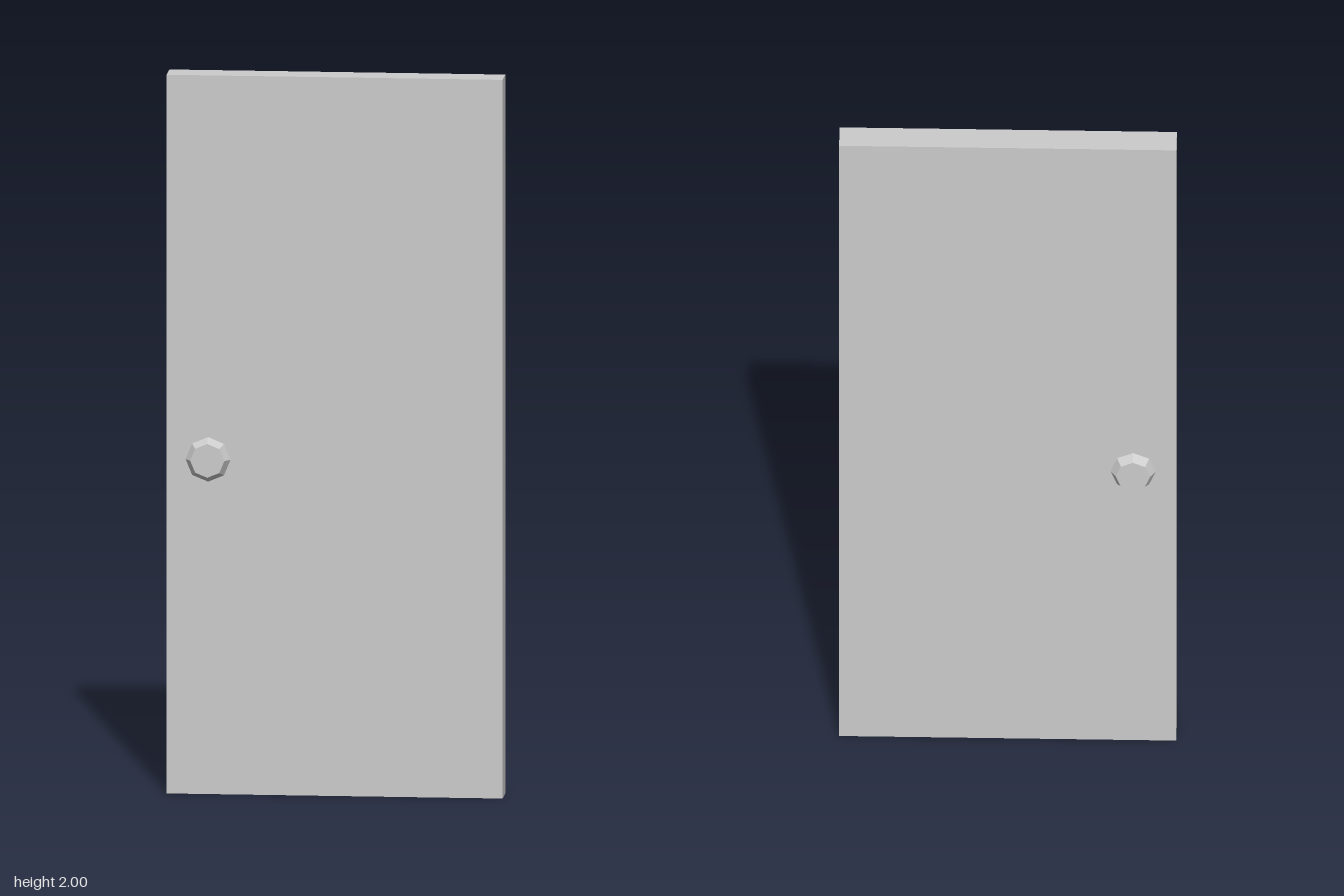
import * as THREE from 'three';

export function createModel() {
  const group = new THREE.Group();
  const material = new THREE.MeshStandardMaterial({ color: 0xcccccc, flatShading: true });

  // Door slab
  const slab = new THREE.Mesh(new THREE.BoxGeometry(0.925, 2, 0.086), material);
  slab.name = 'doorSlab';
  slab.position.y = 1;
  group.add(slab);

  // Faceted knob: radius and distance from the slab's middle, neck to flat cap
  const profile = [[0, 0.043], [0.031, 0.043], [0.062, 0.081], [0.047, 0.106], [0, 0.106]]
    .map(([r, d]) => new THREE.Vector2(r, d));
  const knobGeometry = new THREE.LatheGeometry(profile, 8);

  // One knob on each face
  for (const [name, side] of [['frontKnob', 1], ['backKnob', -1]]) {
    const knob = new THREE.Mesh(knobGeometry, material);
    knob.name = name;
    knob.position.set(-0.345, 0.938, 0);
    knob.rotation.x = side * Math.PI / 2;
    group.add(knob);
  }
  return group;
}
